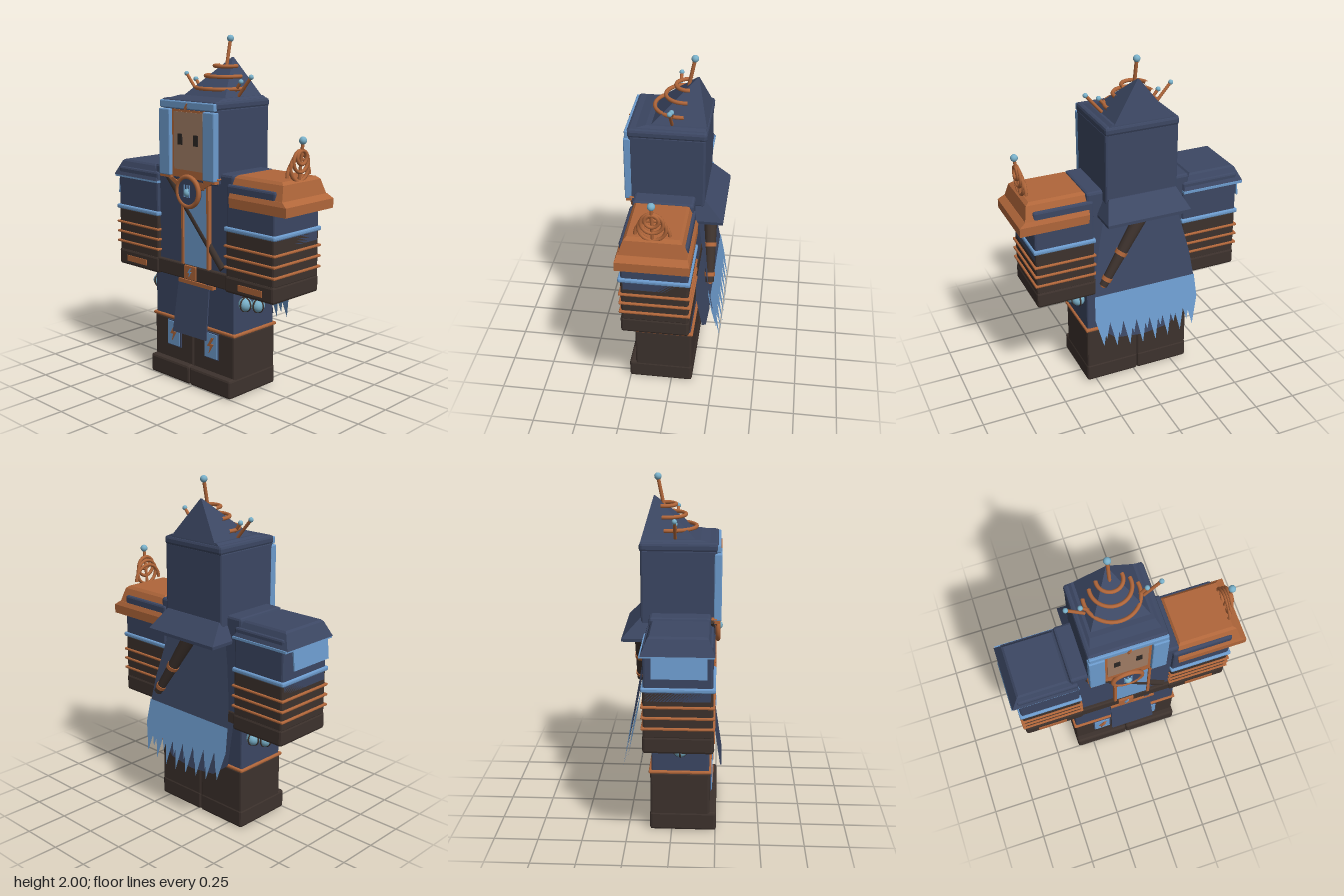
import * as THREE from 'three';
import { RoundedBoxGeometry } from 'three/addons/geometries/RoundedBoxGeometry.js';

const C = -0.024; // the body's own centre line

export function createModel() {
  const model = new THREE.Group();
  model.name = 'armouredFigure';
  const mat = (name, color) => {
    const m = new THREE.MeshStandardMaterial({ color });
    m.name = name;
    return m;
  };
  const navy = mat('navy', 0x3c4763), blue = mat('lightBlue', 0x6c9bcd), copper = mat('copper', 0xb0663a);
  const brown = mat('darkBrown', 0x3d322d), skin = mat('tan', 0xa07c64), cyan = mat('cyan', 0x79b0c9);
  const black = mat('black', 0x2b2624);
  navy.side = blue.side = THREE.DoubleSide;

  const add = (name, geo, material, parent = model) => {
    const m = new THREE.Mesh(geo, material);
    m.name = name;
    parent.add(m);
    return m;
  };
  // box given by its limits, with a chamfer if r > 0
  const box = (name, material, x0, x1, y0, y1, z0, z1, r = 0) => {
    const s = [x1 - x0, y1 - y0, z1 - z0];
    const g = r ? new RoundedBoxGeometry(...s, 1, r) : new THREE.BoxGeometry(...s);
    if (r) g.computeVertexNormals();
    return add(name, g.translate((x0 + x1) / 2, (y0 + y1) / 2, (z0 + z1) / 2), material);
  };
  // block whose bottom and top rectangles [x0, x1, z0, z1] differ
  const frustum = (name, material, y0, b, y1, t) => {
    const g = new THREE.BoxGeometry(1, 1, 1).toNonIndexed(), p = g.attributes.position;
    for (let i = 0; i < p.count; i++) {
      const up = p.getY(i) > 0, q = up ? t : b;
      p.setXYZ(i, q[p.getX(i) > 0 ? 1 : 0], up ? y1 : y0, q[p.getZ(i) > 0 ? 3 : 2]);
    }
    g.computeVertexNormals();
    return add(name, g, material);
  };
  const V = (a) => new THREE.Vector3(...a);
  // tapered rod between two points
  const rod = (name, material, a, b, r0, r1 = r0) => {
    const d = V(b).sub(V(a));
    const m = add(name, new THREE.CylinderGeometry(r1, r0, d.length(), 12), material);
    m.position.copy(V(a).add(V(b)).multiplyScalar(0.5));
    m.quaternion.setFromUnitVectors(new THREE.Vector3(0, 1, 0), d.normalize());
    return m;
  };
  const ball = (name, material, p, r) =>
    add(name, new THREE.SphereGeometry(r, 16, 12), material).position.set(...p);
  const shapeOf = (pts) => new THREE.Shape(pts.map(([x, y]) => new THREE.Vector2(x, y)));
  const bolt = (material, x, y, z, h) => {
    const pts = [[0.1, 0.5], [-0.25, -0.06], [0, -0.06], [-0.12, -0.5], [0.25, 0.1], [0.02, 0.1], [0.28, 0.5]];
    const g = new THREE.ExtrudeGeometry(shapeOf(pts.map(([a, b]) => [a * h, b * h])), { depth: 0.006, bevelEnabled: false });
    add('bolt', g, material).position.set(x, y, z);
  };

  // legs, boots and boot plates
  box('trousers', navy, -0.345, 0.297, 0.36, 0.64, -0.115, 0.212, 0.01);
  box('bootTrim', copper, -0.358, 0.31, 0.356, 0.374, -0.13, 0.225, 0.006);
  for (const s of [-1, 1]) {
    const a = s < 0 ? -0.35 : C, b = s < 0 ? C : 0.302;
    box('boot', brown, a, b, 0.03, 0.36, -0.122, 0.217, 0.012);
    box('bootToe', brown, a - (s < 0 ? 0.003 : 0), b + (s > 0 ? 0.003 : 0), 0, 0.112, -0.125, 0.255, 0.014);
    const x = C + s * 0.154;
    box('bootPlateRim', navy, x - 0.056, x + 0.056, 0.193, 0.35, 0.212, 0.224);
    box('bootPlate', blue, x - 0.049, x + 0.049, 0.2, 0.344, 0.222, 0.23);
    bolt(copper, x, 0.275, 0.229, 0.095);
    // hanging orbs at the hip
    [[0.155, 0.545], [0.05, 0.515], [-0.055, 0.558]].forEach(([z, y]) => {
      const ox = C + s * 0.352;
      ball('hipOrb', cyan, [ox, y, z], 0.039);
      rod('orbCord', brown, [ox, y + 0.03, z], [ox, 0.64, z], 0.006);
      for (const turn of [0, Math.PI / 2]) {
        const band = add('orbBand', new THREE.TorusGeometry(0.039, 0.005, 6, 20), brown);
        band.position.set(ox, y, z);
        band.rotation.y = turn;
      }
    });
  }

  // torso, belt and chest panel
  box('torso', navy, -0.34, 0.29, 0.63, 1.268, -0.125, 0.212, 0.015);
  box('belt', brown, -0.345, 0.297, 0.625, 0.715, -0.13, 0.232, 0.008);
  box('buckle', copper, C - 0.046, C + 0.046, 0.635, 0.712, 0.22, 0.243);
  bolt(blue, C, 0.675, 0.242, 0.055);
  box('beltTrim', copper, -0.12, 0.155, 0.605, 0.627, 0.2, 0.24);
  box('chestPanel', blue, -0.085, 0.11, 0.715, 1.2, 0.21, 0.226);
  for (const x of [-0.09, 0.113]) box('chestTrim', copper, x - 0.008, x + 0.008, 0.715, 1.2, 0.21, 0.236);
  rod('strap', brown, [-0.24, 1.23, 0.208], [0.21, 0.735, 0.208], 0.024);
  for (const s of [-1, 1]) {
    const x = C + s * 0.125;
    const c = add('collarTrim', new THREE.BoxGeometry(0.21, 0.025, 0.035), copper);
    c.position.set(x, 1.195, 0.225);
    c.rotation.z = s * 0.5;
  }
  box('neck', copper, C - 0.11, C + 0.11, 1.16, 1.265, 0.1, 0.238, 0.01);

  // medallion
  const disc = add('medallion', new THREE.CylinderGeometry(0.085, 0.085, 0.03, 28).rotateX(Math.PI / 2), navy);
  disc.position.set(C, 1.145, 0.242);
  add('medallionRim', new THREE.TorusGeometry(0.084, 0.014, 8, 32), copper).position.set(C, 1.145, 0.25);
  ball('medallionGem', cyan, [C, 1.14, 0.252], 0.025);
  for (let i = -1; i <= 1; i++) box('gemProng', blue, C + i * 0.02 - 0.004, C + i * 0.02 + 0.004, 1.115, 1.185, 0.256, 0.264);

  // hanging cloth in front
  const front = frustum('frontCloth', navy, 0.315, [-0.122, 0.15, 0.274, 0.282], 0.625, [-0.108, 0.138, 0.228, 0.236]);
  front.rotation.z = 0.02;

  // arms
  for (const s of [-1, 1]) {
    const X = (near, far) => [C + s * near, C + s * far].sort((a, b) => a - b);
    const arm = X(0.275, 0.625);
    box('upperArm', navy, ...arm, 0.9, 1.22, -0.135, 0.23, 0.012);
    box('gauntlet', brown, ...arm, 0.7, 0.97, -0.137, 0.232, 0.012);
    box('cuff', brown, ...X(0.27, 0.627), 0.615, 0.715, -0.141, 0.238, 0.015);
    box('cuffPlate', copper, ...X(0.375, 0.55), 0.645, 0.68, 0.235, 0.243);
    box('armBand', blue, ...X(0.268, 0.636), 0.962, 0.988, -0.147, 0.244, 0.008);
    for (const y of [0.76, 0.82, 0.88]) box('gauntletRing', copper, ...X(0.267, 0.637), y - 0.007, y + 0.007, -0.147, 0.243, 0.005);
  }

  // right shoulder pad with its hanging plate
  frustum('rightPad', navy, 1.168, [-0.683, -0.3, -0.145, 0.238], 1.25, [-0.642, -0.345, -0.11, 0.205]);
  frustum('rightPadTop', navy, 1.25, [-0.642, -0.345, -0.11, 0.205], 1.26, [-0.63, -0.355, -0.1, 0.195]);
  box('rightPadTrim', blue, -0.677, -0.298, 1.157, 1.17, -0.152, 0.236);
  frustum('rightPadPlate', blue, 1.05, [-0.69, -0.682, -0.09, 0.2], 1.168, [-0.678, -0.67, -0.09, 0.2]);

  // left copper pauldron
  frustum('pauldronFlange', copper, 1.098, [0.285, 0.685, -0.15, 0.242], 1.15, [0.28, 0.685, -0.15, 0.242]);
  frustum('pauldronLip', copper, 1.15, [0.28, 0.685, -0.15, 0.242], 1.175, [0.28, 0.65, -0.138, 0.232]);
  frustum('pauldronBody', copper, 1.165, [0.28, 0.65, -0.138, 0.232], 1.255, [0.285, 0.63, -0.105, 0.2]);
  frustum('pauldronTop', copper, 1.255, [0.285, 0.63, -0.105, 0.2], 1.27, [0.3, 0.61, -0.09, 0.185]);

  // coil on the pauldron
  [[0.09, 1.285, 0.604], [0.072, 1.33, 0.612], [0.058, 1.365, 0.62], [0.036, 1.385, 0.628]].forEach(([r, y, x], i) => {
    const ring = add('coilRing', new THREE.TorusGeometry(r, 0.01, 8, 28, i ? Math.PI * 2 : Math.PI), copper);
    ring.position.set(x, y, 0.05);
    ring.rotation.y = Math.PI / 2;
  });
  rod('coilRod', copper, [0.61, 1.26, 0.05], [0.632, 1.47, 0.05], 0.009);
  ball('coilBall', cyan, [0.632, 1.475, 0.05], 0.021);

  // head and helmet
  box('helmet', navy, -0.24, 0.195, 1.2, 1.62, -0.175, 0.24, 0.012);
  box('helmetRim', navy, -0.242, 0.197, 1.605, 1.657, -0.182, 0.25, 0.016);
  box('browBand', blue, -0.238, 0.193, 1.605, 1.648, 0.235, 0.262, 0.006);
  bolt(copper, C, 1.612, 0.262, 0.05);
  box('faceFrame', copper, -0.155, 0.107, 1.22, 1.6, 0.23, 0.245);
  box('face', skin, -0.137, 0.09, 1.265, 1.588, 0.24, 0.249);
  for (const s of [-1, 1]) {
    const ex = C + s * 0.062;
    box('eye', black, ex - 0.017, ex + 0.017, 1.405, 1.466, 0.246, 0.253);
    const cx = C + s * 0.175;
    box('cheekGuard', blue, cx - 0.044, cx + 0.044, 1.225, 1.6, 0.225, 0.268, 0.006);
    box('cheekTrim', copper, cx - 0.044, cx + 0.044, 1.212, 1.228, 0.225, 0.262);
  }
  frustum('nape', navy, 1.112, [C - 0.25, C + 0.25, -0.28, -0.1], 1.13, [C - 0.252, C + 0.252, -0.28, -0.1]);
  frustum('napeSlope', navy, 1.13, [C - 0.252, C + 0.252, -0.28, -0.1], 1.235, [C - 0.205, C + 0.205, -0.18, -0.1]);

  // pointed crown, its rings and antennae
  frustum('crownBase', navy, 1.65, [-0.225, 0.18, -0.175, 0.235], 1.668, [-0.2, 0.152, -0.172, 0.15]);
  frustum('crown', navy, 1.66, [-0.19, 0.145, -0.175, 0.13], 1.877, [C - 0.004, C + 0.004, -0.113, -0.106]);
  [[0.07, 1.83, -0.06], [0.11, 1.775, -0.045], [0.15, 1.71, -0.025]].forEach(([r, y, z]) => {
    const ring = add('crownRing', new THREE.TorusGeometry(r, 0.011, 8, 28, Math.PI * 1.1), copper);
    ring.position.set(C, y, z);
    ring.rotation.set(Math.PI / 2, 0, -Math.PI * 0.05);
  });
  rod('antenna', copper, [C, 1.81, -0.055], [C, 1.98, -0.09], 0.01);
  ball('antennaBall', cyan, [C, 1.982, -0.09], 0.02);
  for (const s of [-1, 1]) for (const [dx, y] of [[0.254, 1.78], [0.178, 1.752]]) {
    rod('sideAntenna', copper, [C + s * (dx - 0.1 + (dx < 0.2 ? 0.03 : 0)), 1.665, 0.012], [C + s * dx, y, 0.012], 0.009);
    ball('sideAntennaBall', cyan, [C + s * dx, y, 0.012], 0.014);
  }

  // cape: flat outlines leaned backwards towards the hem
  const cloth = (name, material, pts, z0, lean) => {
    const g = new THREE.ShapeGeometry(shapeOf(pts)), p = g.attributes.position;
    for (let i = 0; i < p.count; i++) p.setXYZ(i, p.getX(i) + C, p.getY(i), z0 - (1.1 - p.getY(i)) * lean);
    g.computeVertexNormals();
    return add(name, g, material);
  };
  const side = [[0.2, 1.18], [0.25, 1], [0.295, 0.8], [0.32, 0.6]];
  const mirrored = side.map(([x, y]) => [-x, y]).reverse();
  const zigzag = (n, half, top, tip) => {
    const pts = [];
    for (let i = 0; i <= 2 * n; i++) pts.push([half - half * i / n, i % 2 ? tip(i / (2 * n)) : top]);
    return pts;
  };
  cloth('cape', navy, [...side, ...zigzag(8, 0.315, 0.58, () => 0.49), ...mirrored], -0.145, 0.175);
  cloth('capeFringe', blue, [[0.315, 0.66], ...zigzag(8, 0.325, 0.52, (t) => 0.31 + 0.05 * (1 - Math.sin(t * Math.PI))), [-0.315, 0.66]], -0.147, 0.18);
  cloth('capeInnerFringe', blue, [[0.3, 0.66], ...zigzag(7, 0.3, 0.54, () => 0.38), [-0.3, 0.66]], -0.135, 0.175);
  cloth('backCloth', navy, [[0.27, 0.65], [0.27, 0.4], [0.17, 0.32], [0, 0.3], [-0.17, 0.32], [-0.27, 0.4], [-0.27, 0.65]], -0.045, 0.187);

  // scabbard slung across the back
  const A = [-0.02, 1.12, -0.19], B = [0.235, 0.72, -0.215];
  const at = (t) => A.map((a, i) => a + (B[i] - a) * t);
  rod('scabbard', brown, A, B, 0.042, 0.024);
  rod('scabbardBand', copper, at(0.52), at(0.57), 0.037, 0.036);
  rod('scabbardBand', copper, at(0.88), at(0.93), 0.031, 0.03);
  rod('scabbardTip', copper, at(0.98), at(1.02), 0.022, 0.014);

  return model;
}
